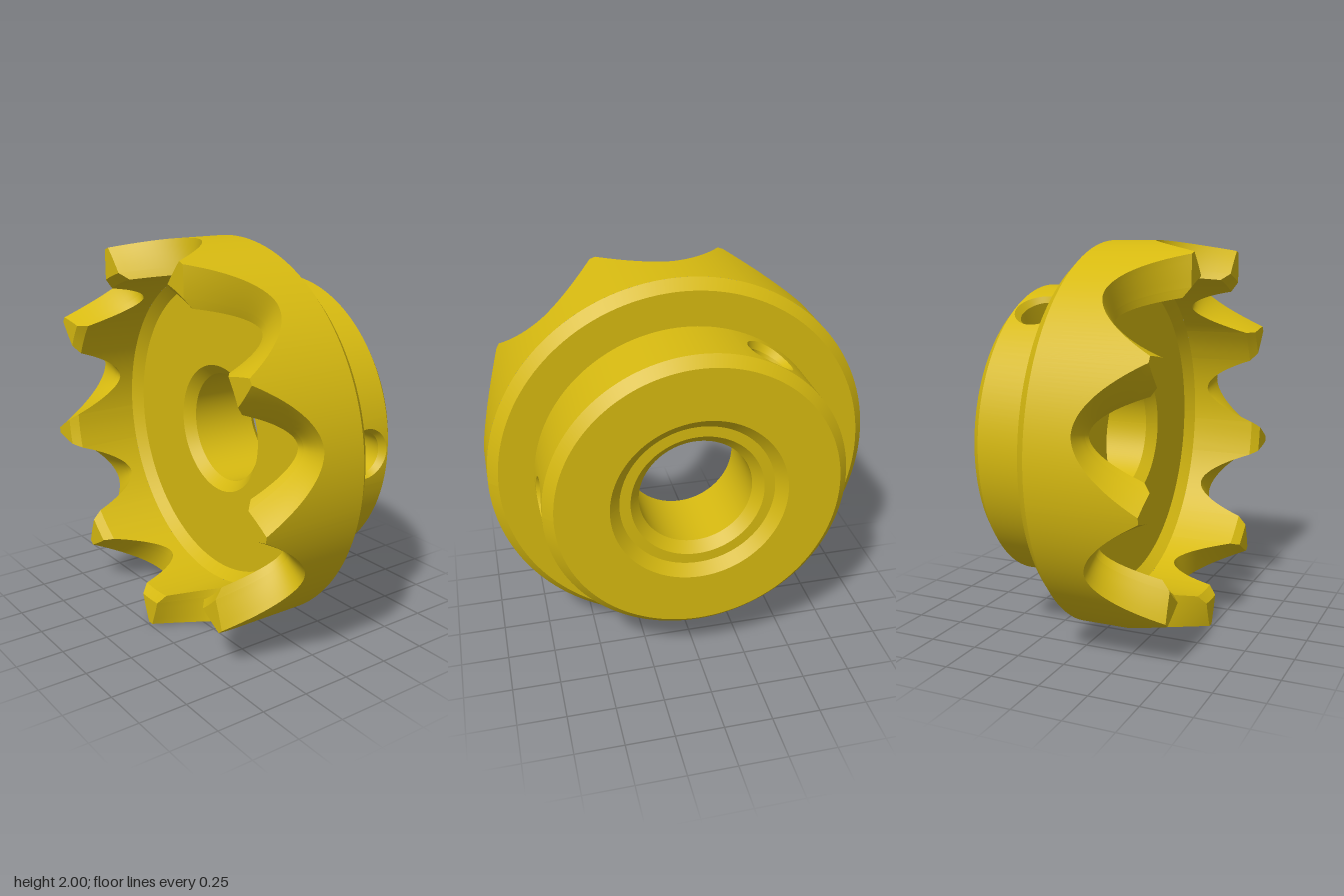
import * as THREE from 'three';
import { mergeGeometries } from 'three/addons/utils/BufferGeometryUtils.js';

const TAU = Math.PI * 2, DEG = Math.PI / 180;
const FRONT = 0.485, BACK = -0.485;

// grid surface from a rule fn(u, v) -> [x, y, z]; it faces du x dv
function surface(nu, nv, fn) {
  const pos = [], idx = [];
  for (let j = 0; j <= nv; j++)
    for (let i = 0; i <= nu; i++) pos.push(...fn(i / nu, j / nv));
  for (let j = 0; j < nv; j++)
    for (let i = 0; i < nu; i++) {
      const a = j * (nu + 1) + i, b = a + 1, c = a + nu + 1, d = c + 1;
      idx.push(a, b, d, a, d, c);
    }
  const g = new THREE.BufferGeometry();
  g.setAttribute('position', new THREE.Float32BufferAttribute(pos, 3));
  g.setIndex(idx);
  g.computeVertexNormals();
  return g;
}

const polar = (r, a, z) => [r * Math.cos(a), r * Math.sin(a), z];
const mix = (a, b, t) => a + (b - a) * t;

// turned surface about z, one sharp-edged band per profile segment
function turned(profile, from = 0, to = TAU) {
  const bands = [];
  for (let k = 0; k + 1 < profile.length; k++) {
    const [r0, z0] = profile[k], [r1, z1] = profile[k + 1];
    bands.push(surface(Math.ceil((to - from) / TAU * 144), 1,
      (u, v) => polar(mix(r0, r1, v), mix(from, to, u), mix(z0, z1, v))));
  }
  return mergeGeometries(bands);
}

// tooth ring: nine tapered gaps with rounded floors
const TEETH = 9, PITCH = TAU / TEETH, INNER = 0.82, FLOOR = 0.172, POWER = 1.85;
const cap = r => Math.min(FRONT, FRONT - 0.04 + r - INNER);          // inner edge chamfer
const flare = r => (19.1 - 27 * (1 - r)) * DEG;                      // gap half angle at the tips
const reach = r => Math.pow((cap(r) - FLOOR) / (FRONT - FLOOR), 1 / POWER);
const gapZ = f => FLOOR + (FRONT - FLOOR) * Math.pow(Math.abs(f), POWER);

function toothRing() {
  const parts = [];
  for (let k = 0; k < TEETH; k++) {
    const mid = Math.PI / 2 + k * PITCH;
    const gapPoint = (r, u) => {
      const f = (2 * u - 1) * reach(r);
      return [mid + f * flare(r), gapZ(f)];
    };
    const tipPoint = (r, u) => {
      const h = reach(r) * flare(r);
      return [mix(mid + h, mid + PITCH - h, u), cap(r)];
    };
    for (const [point, n] of [[gapPoint, 32], [tipPoint, 4]]) {
      const at = (r, u) => { const [a, z] = point(r, u); return polar(r, a, z); };
      // top, split at the chamfer
      for (const [r0, r1] of [[1, 0.86], [0.86, INNER]])
        parts.push(surface(n, 4, (u, v) => at(mix(r0, r1, v), u)));
      // outer and inner walls
      parts.push(surface(n, 1, (u, v) => {
        const [a, z] = point(1, u);
        return polar(1, a, mix(-0.06, z, v));
      }));
      parts.push(surface(n, 1, (u, v) => {
        const [a, z] = point(INNER, u);
        return polar(INNER, a, mix(z, 0.09, v));
      }));
    }
  }
  return mergeGeometries(parts);
}

// hub wall with two blind radial screw holes
const HUB = 0.77, HUB_BACK = BACK + 0.05, HUB_FRONT = -0.115;
const HOLES = [0, 120 * DEG], PATCH = 0.22, HOLE_Z = -0.3, RIM = 0.127;

function holePatch() {
  const zc = (HUB_BACK + HUB_FRONT) / 2, h = (HUB_FRONT - HUB_BACK) / 2;
  const g = surface(64, 4, (u, v) => {
    const c = Math.cos(u * TAU), s = Math.sin(u * TAU), m = Math.max(Math.abs(c), Math.abs(s));
    const a = mix(PATCH * c / m, Math.asin(RIM * c / HUB), v);
    return polar(HUB, a, mix(zc + h * s / m, HOLE_Z + RIM * s, v));
  });
  // exact cylinder normals
  const p = g.attributes.position, n = g.attributes.normal;
  for (let i = 0; i < p.count; i++) n.setXYZ(i, p.getX(i) / HUB, p.getY(i) / HUB, 0);
  return g;
}

function screwHole() {
  // [hole radius, distance from axis]; the first ring follows the hub wall
  const steps = [[RIM, null], [0.105, 0.735], [0.105, 0.5], [0, 0.44]];
  const ring = ([rad, x], u) => {
    const t = rad * Math.cos(u * TAU);
    return [x ?? Math.sqrt(HUB * HUB - t * t), t, HOLE_Z + rad * Math.sin(u * TAU)];
  };
  return mergeGeometries(steps.slice(1).map((s, k) => surface(64, 1, (u, v) => {
    const a = ring(steps[k], u), b = ring(s, u);
    return a.map((q, i) => mix(q, b[i], v));
  })));
}

export function createModel() {
  const group = new THREE.Group();
  group.name = 'toothedCoupling';
  const body = new THREE.Group();
  body.name = 'couplingBody';
  body.position.y = 1;
  group.add(body);

  const brass = new THREE.MeshStandardMaterial({ color: 0xd6b910 });
  brass.name = 'yellowMetal';
  const add = (name, geometry, angle = 0) => {
    const mesh = new THREE.Mesh(geometry, brass);
    mesh.name = name;
    mesh.rotation.z = angle;
    body.add(mesh);
  };

  add('toothRing', toothRing());
  add('frontFace', turned([[INNER, 0.09], [0.77, 0.04], [0.34, 0.04]]));
  add('bore', turned([[0.34, 0.04], [0.29, -0.01], [0.29, -0.385], [0.34, -0.435]]));
  add('hubBack', turned([[0.34, -0.435], [0.395, -0.435], [0.45, BACK], [0.72, BACK], [HUB, HUB_BACK]]));
  add('flangeBack', turned([[HUB, HUB_FRONT], [0.95, HUB_FRONT], [1, -0.06]]));

  const wall = [[HUB, HUB_BACK], [HUB, HUB_FRONT]];
  add('hubWallShort', turned(wall, HOLES[0] + PATCH, HOLES[1] - PATCH));
  add('hubWallLong', turned(wall, HOLES[1] + PATCH, TAU - PATCH));
  for (const angle of HOLES) {
    add('hubWallAroundHole', holePatch(), angle);
    add('screwHole', screwHole(), angle);
  }
  return group;
}
